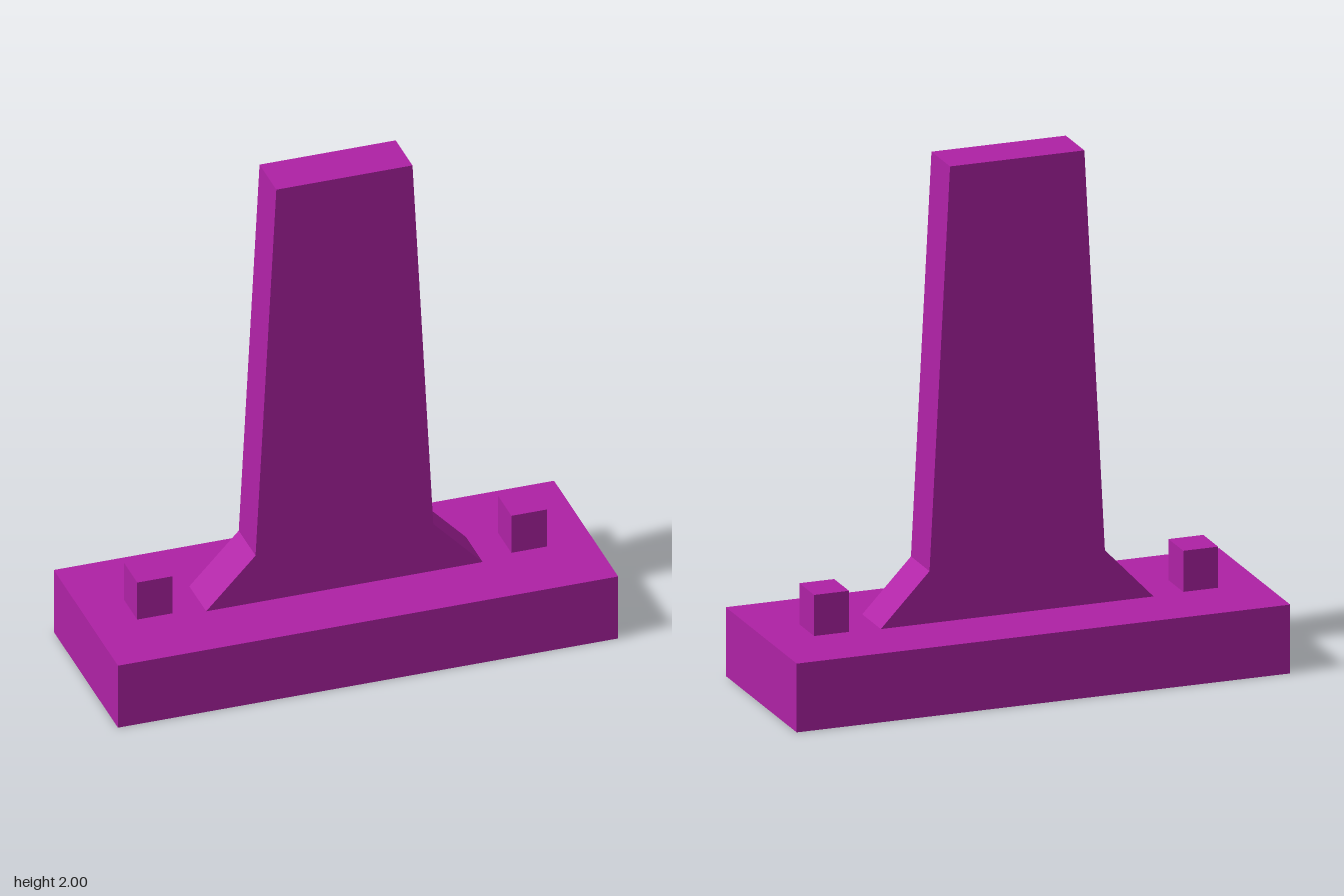
import * as THREE from 'three';

export function createModel() {
  const model = new THREE.Group();
  model.name = 'pylonOnBase';
  const magenta = new THREE.MeshStandardMaterial({ color: 0xb022a6 });
  magenta.name = 'magenta';

  const baseTop = 0.263;

  function add(name, geometry, x, y, z) {
    const mesh = new THREE.Mesh(geometry, magenta);
    mesh.name = name;
    mesh.position.set(x, y, z);
    model.add(mesh);
  }

  // Base slab
  add('base', new THREE.BoxGeometry(1.925, baseTop, 0.714), 0, baseTop / 2, 0);

  // Tapered upright with flared foot: half widths and heights, mirrored
  const side = [[0.532, baseTop], [0.342, 0.462], [0.262, 2]];
  const outline = [...side, ...side.map(([x, y]) => [-x, y]).reverse()];
  const shape = new THREE.Shape(outline.map(([x, y]) => new THREE.Vector2(x, y)));
  const depth = 0.187;
  const upright = new THREE.ExtrudeGeometry(shape, { depth, bevelEnabled: false });
  upright.translate(0, 0, -depth / 2);
  add('upright', upright, -0.002, 0, 0.006);

  // Small pegs on either side
  const pegHeight = 0.157;
  for (const s of [1, -1]) {
    add(s > 0 ? 'leftPeg' : 'rightPeg', new THREE.BoxGeometry(0.136, pegHeight, 0.149),
      s * 0.72 - 0.002, baseTop + pegHeight / 2, -0.002);
  }

  return model;
}
